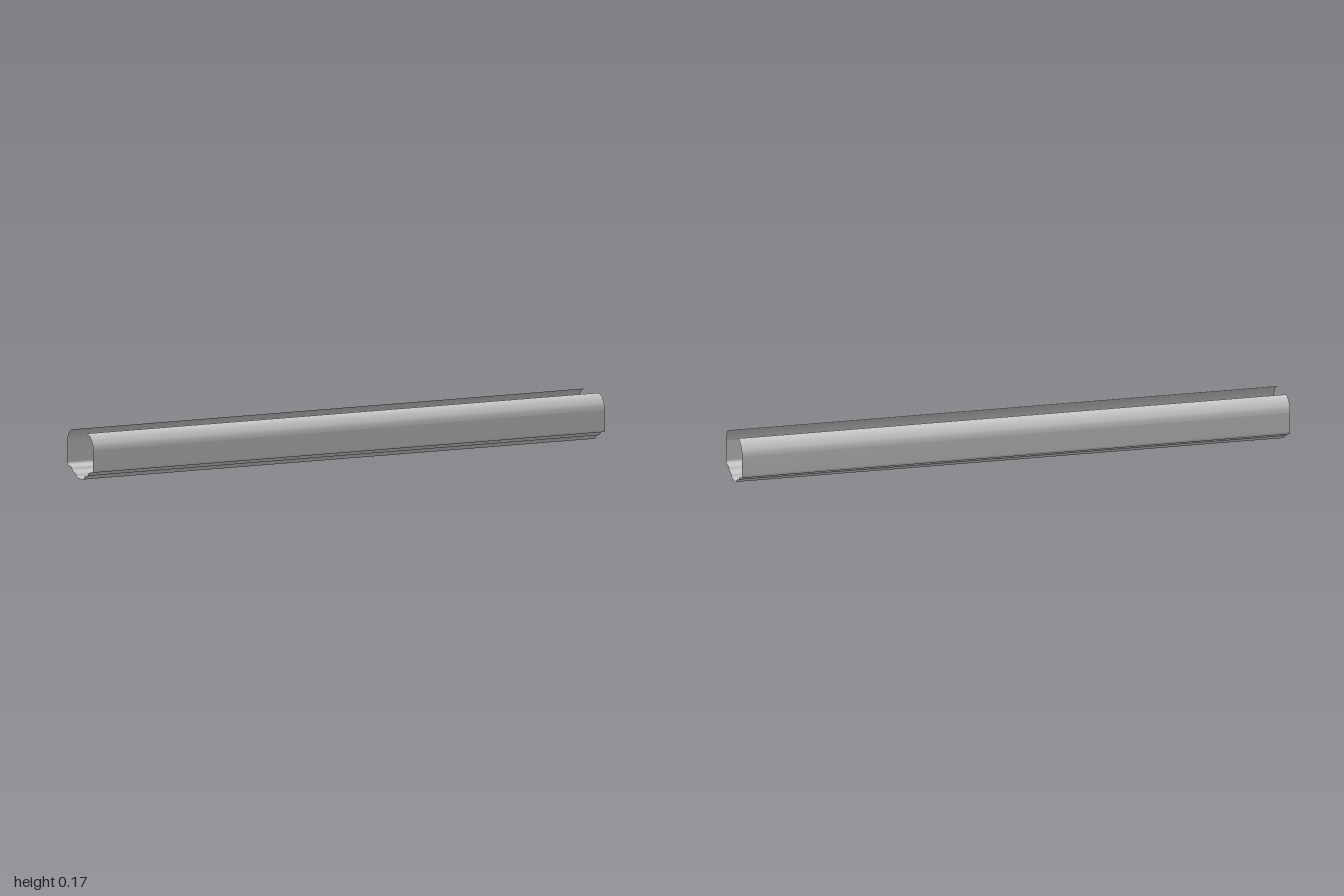
import * as THREE from 'three';

// Half cross-section as [z, y]: rolled lip, straight wall, stepped moulded underside
const LIP = [[0.052, 0.168], [0.064, 0.166], [0.078, 0.16], [0.09, 0.149], [0.1, 0.133], [0.104, 0.113]];
const BASE = [[0.104, 0.046], [0.102, 0.039], [0.095, 0.035], [0.08, 0.033], [0.07, 0.03], [0.065, 0.024],
  [0.058, 0.019], [0.046, 0.016], [0.036, 0.012], [0.029, 0.004], [0.02, 0], [0, 0]];

function smooth(points, divisions) {
  const curve = new THREE.CatmullRomCurve3(points.map(([z, y]) => new THREE.Vector3(0, y, z)), false, 'centripetal');
  return curve.getPoints(divisions).map((p) => [p.z, Math.max(0, p.y)]);
}

// Sweep an open section along x as a single thin sheet
function sheet(section, length) {
  const positions = [];
  const index = [];
  section.forEach(([z, y], i) => {
    positions.push(-length / 2, y, z, length / 2, y, z);
    if (i > 0) {
      const a = 2 * (i - 1);
      index.push(a, a + 2, a + 1, a + 1, a + 2, a + 3);
    }
  });
  const geometry = new THREE.BufferGeometry();
  geometry.setAttribute('position', new THREE.Float32BufferAttribute(positions, 3));
  geometry.setIndex(index);
  geometry.computeVertexNormals();
  return geometry;
}

export function createModel() {
  const group = new THREE.Group();
  group.name = 'mouldedChannel';

  // Front half, then its mirror image for the back
  const half = [...smooth(LIP, 16), ...smooth(BASE, 44)];
  const mirrored = half.slice(0, -1).reverse().map(([z, y]) => [-z, y]);

  const material = new THREE.MeshStandardMaterial({ color: 0xcccccc, side: THREE.DoubleSide });
  const channel = new THREE.Mesh(sheet([...half, ...mirrored], 2), material);
  channel.name = 'channelSheet';
  group.add(channel);
  return group;
}
